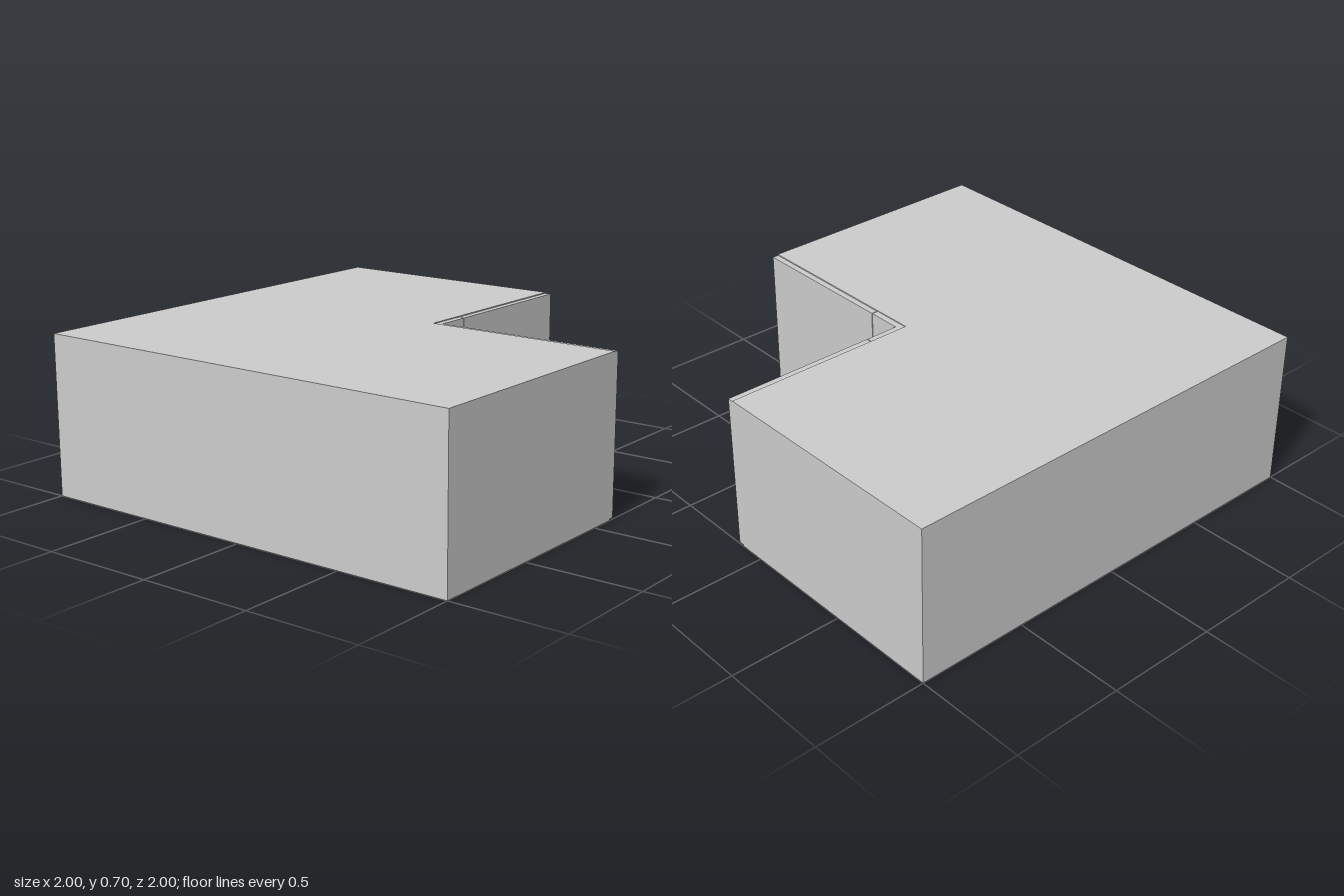
import * as THREE from 'three';

const HEIGHT = 0.7;
const BODY = 0.117; // inner corner of the carcass, x = BODY, z = -BODY
const FACE = 0.146; // outer plane of doors and fillers
const GAP = 0.004;

const grey = new THREE.MeshStandardMaterial({ color: 0xcccccc });
const black = new THREE.MeshStandardMaterial({ color: 0x1c1c1c });

// Box given by its minimum and maximum corners
function block(name, material, [x0, y0, z0], [x1, y1, z1]) {
  const geometry = new THREE.BoxGeometry(x1 - x0, y1 - y0, z1 - z0);
  geometry.translate((x0 + x1) / 2, (y0 + y1) / 2, (z0 + z1) / 2);
  const mesh = new THREE.Mesh(geometry, material);
  mesh.name = name;
  return mesh;
}

// Bracket handle: U-shaped outline in x/z, extruded upward
function handle(name, start, end) {
  const out = 0.206, t = 0.015;
  const outline = [
    [FACE, start], [out, start], [out, end], [FACE, end],
    [FACE, end - t], [out - t, end - t], [out - t, start + t], [FACE, start + t],
  ];
  const shape = new THREE.Shape(outline.map(([x, y]) => new THREE.Vector2(x, y)));
  const geometry = new THREE.ExtrudeGeometry(shape, { depth: 0.04, bevelEnabled: false });
  geometry.rotateX(-Math.PI / 2);
  geometry.translate(-0.004, 0.045, 0);
  const mesh = new THREE.Mesh(geometry, black);
  mesh.name = name;
  return mesh;
}

export function createModel() {
  const model = new THREE.Group();
  model.name = 'cornerCabinet';

  // L-shaped carcass (shape y becomes -z)
  const plan = [[-1, -1], [1, -1], [1, BODY], [BODY, BODY], [BODY, 1], [-1, 1]];
  const shape = new THREE.Shape(plan.map(([x, y]) => new THREE.Vector2(x, y)));
  const carcassGeometry = new THREE.ExtrudeGeometry(shape, { depth: HEIGHT, bevelEnabled: false });
  carcassGeometry.rotateX(-Math.PI / 2);
  const carcass = new THREE.Mesh(carcassGeometry, grey);
  carcass.name = 'carcass';
  model.add(carcass);

  const low = GAP, high = HEIGHT - GAP;

  // Side wing front, facing +x
  const sideFront = new THREE.Group();
  sideFront.name = 'sideFront';
  sideFront.add(
    block('sideDoor', grey, [BODY + 0.002, low, -0.998], [FACE, high, -0.302]),
    block('sideFiller', grey, [BODY, low, -0.298], [FACE, high, -BODY]),
    handle('sideHandle', 0.49, 0.81),
  );

  // Rear wing front, facing -z
  const rearFront = new THREE.Group();
  rearFront.name = 'rearFront';
  const rearHandle = handle('rearHandle', 0.505, 0.822);
  rearHandle.rotation.y = Math.PI / 2; // (x, z) -> (z, -x)
  rearHandle.scale.z = -1; // keep the handle on the +x side
  rearFront.add(
    block('rearDoor', grey, [0.302, low, -FACE], [0.998, high, -BODY - 0.002]),
    block('rearFiller', grey, [FACE, low, -FACE], [0.298, high, -BODY]),
    rearHandle,
  );

  model.add(sideFront, rearFront);
  return model;
}
